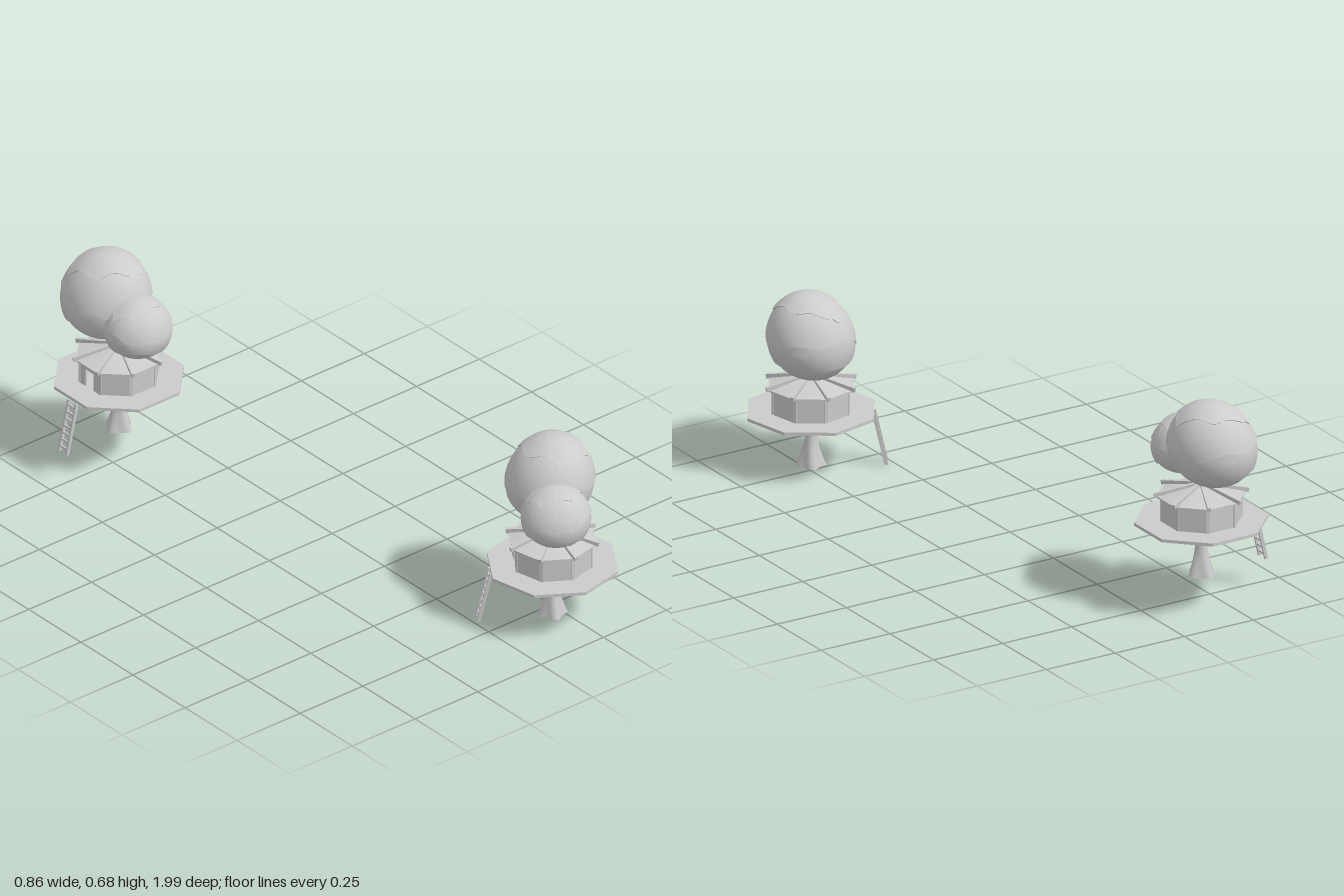
import * as THREE from 'three';
import { toCreasedNormals, mergeVertices } from 'three/addons/utils/BufferGeometryUtils.js';

const mat = new THREE.MeshStandardMaterial({ color: 0xcccccc, side: THREE.DoubleSide });
const SIDES = 8, STEP = Math.PI / 4, HALF = Math.PI / 8;

function add(parent, name, geometry, x = 0, y = 0, z = 0) {
  const mesh = new THREE.Mesh(geometry, mat);
  mesh.name = name;
  mesh.position.set(x, y, z);
  parent.add(mesh);
  return mesh;
}

// Octagonal prism or frustum with flat sides facing the axes
function octagon(rTop, rBottom, h, open = false) {
  return toCreasedNormals(new THREE.CylinderGeometry(rTop, rBottom, h, SIDES, 1, open).rotateY(HALF), 0.3);
}

// Closed-in-a-ring surface: point(i, j) gives positions, j running downwards
function ringSurface(cols, rows, point) {
  const pos = [], index = [];
  for (let j = 0; j <= rows; j++)
    for (let i = 0; i < cols; i++) pos.push(...point((i / cols) * Math.PI * 2, j));
  for (let j = 0; j < rows; j++)
    for (let i = 0; i < cols; i++) {
      const n = (i + 1) % cols, a = j * cols + i, b = j * cols + n;
      index.push(a, b, a + cols, b, b + cols, a + cols);
    }
  const g = new THREE.BufferGeometry();
  g.setAttribute('position', new THREE.Float32BufferAttribute(pos, 3));
  g.setIndex(index);
  const merged = mergeVertices(g, 1e-6);
  merged.computeVertexNormals();
  return merged;
}

// Egg-shaped foliage: a core covered by overlapping caps with ragged lower lips
function foliage(parent, name, center, radii, lean, seed) {
  const group = new THREE.Group();
  group.name = name;
  group.position.set(...center);
  parent.add(group);
  const place = (theta, phi, s) => {
    const y = Math.cos(phi), r = Math.sin(phi) * (1 - 0.07 * y);
    return [
      radii[0] * s * (r * Math.cos(theta) + lean[0] * y),
      radii[1] * s * y,
      radii[2] * s * (r * Math.sin(theta) + lean[1] * y)
    ];
  };
  add(group, name + 'Core', ringSurface(48, 24, (t, j) => place(t, (j / 24) * Math.PI, 0.96)));
  [[0.78, 1.0], [1.52, 0.99], [2.12, 0.98]].forEach(([edge, s], k) => {
    const p = seed + k * 1.9, rows = 18;
    const lip = (t) => {
      const drip = Math.max(0, Math.sin(7 * t + p * 2)) * Math.max(0, Math.sin(2 * t + p));
      return edge + 0.09 * Math.sin(2 * t + p) + 0.06 * Math.sin(5 * t + 2 * p) + 0.15 * drip;
    };
    const cap = ringSurface(80, rows + 1, (t, j) => {
      if (j > rows) return place(t, lip(t) - 0.02, s - 0.06);
      const u = j / rows;
      return place(t, u * lip(t), s + 0.018 * Math.pow(u, 8));
    });
    add(group, name + 'Layer', toCreasedNormals(cap, 0.8));
  });
}

// Ladder leaning against the -x side of the platform
function ladder(parent) {
  const group = new THREE.Group();
  group.name = 'ladder';
  group.position.set(-0.212, 0.087, 0.012);
  group.rotation.z = -0.225;
  for (const side of [-1, 1])
    add(group, 'ladderRail', new THREE.BoxGeometry(0.011, 0.172, 0.007), 0, 0, side * 0.018);
  for (let i = 0; i < 7; i++)
    add(group, 'ladderRung', new THREE.BoxGeometry(0.007, 0.006, 0.034), 0, -0.069 + i * 0.023, 0);
  parent.add(group);
}

// Wall panel standing on the floor, with an optional doorway
function wallPanel(width, height, door) {
  const w = width / 2, s = new THREE.Shape();
  s.moveTo(-w, 0);
  if (door) {
    s.lineTo(-0.019, 0);
    s.lineTo(-0.019, 0.06);
    s.lineTo(0.019, 0.06);
    s.lineTo(0.019, 0);
  }
  s.lineTo(w, 0);
  s.lineTo(w, height);
  s.lineTo(-w, height);
  return new THREE.ExtrudeGeometry(s, { depth: 0.006, bevelEnabled: false });
}

function treeHouse(name) {
  const house = new THREE.Group();
  house.name = name;

  // Trunk with flared, lobed roots
  const profile = [[0.016, 0.36], [0.017, 0.28], [0.0175, 0.15], [0.019, 0.09], [0.026, 0.055], [0.035, 0.02], [0.041, 0]];
  add(house, 'trunk', ringSurface(20, profile.length - 1, (t, j) => {
    const [r, y] = profile[j];
    const rr = r * (1 + 0.18 * Math.max(0, (0.09 - y) / 0.09) * Math.cos(4 * t + 0.6));
    return [rr * Math.cos(t), y, rr * Math.sin(t)];
  }));
  for (const [z, y] of [[0.06, 0.37], [-0.06, 0.4]]) {
    const path = new THREE.QuadraticBezierCurve3(
      new THREE.Vector3(0, 0.285, 0), new THREE.Vector3(0, 0.32, z * 0.3), new THREE.Vector3(0, y, z));
    add(house, 'branch', new THREE.TubeGeometry(path, 6, 0.012, 8));
  }

  // Platform
  add(house, 'platform', octagon(0.209, 0.209, 0.01), 0, 0.179, 0);

  // Octagonal cabin, its doorway facing the ladder
  const apothem = 0.1175, width = 2 * apothem * Math.tan(HALF);
  for (let i = 0; i < SIDES; i++) {
    const spoke = new THREE.Group();
    spoke.name = 'cabinSide';
    spoke.rotation.y = i * STEP;
    house.add(spoke);
    const wall = add(spoke, 'wall', wallPanel(width, 0.082, i === 4), apothem - 0.006, 0.184, 0);
    wall.rotation.y = Math.PI / 2;

    // Corner post and roof rib
    const corner = new THREE.Group();
    corner.name = 'cabinCorner';
    corner.rotation.y = i * STEP + HALF;
    house.add(corner);
    add(corner, 'cornerPost', new THREE.BoxGeometry(0.008, 0.08, 0.01), 0.1235, 0.224, 0);
    const rib = add(corner, 'roofRib', new THREE.BoxGeometry(0.136, 0.014, 0.011), 0.081, 0.283, 0);
    rib.rotation.z = -0.2;
  }

  // Roof
  add(house, 'roof', octagon(0.018, 0.14, 0.03, true), 0, 0.281, 0);
  add(house, 'eaves', octagon(0.14, 0.14, 0.005), 0, 0.2645, 0);

  foliage(house, 'largeFoliage', [0, 0.452, -0.062], [0.138, 0.142, 0.148], [0.08, 0], 0.4);
  foliage(house, 'smallFoliage', [0, 0.404, 0.09], [0.11, 0.099, 0.104], [0, -0.06], 2.3);
  ladder(house);
  return house;
}

export function createModel() {
  const model = new THREE.Group();
  model.name = 'treeHouses';

  const back = treeHouse('backTreeHouse');
  back.position.set(-0.197, 0.09, -0.785);

  const front = treeHouse('frontTreeHouse');
  front.position.set(0.223, 0, 0.788);
  front.rotation.y = THREE.MathUtils.degToRad(-33);

  model.add(back, front);
  return model;
}
